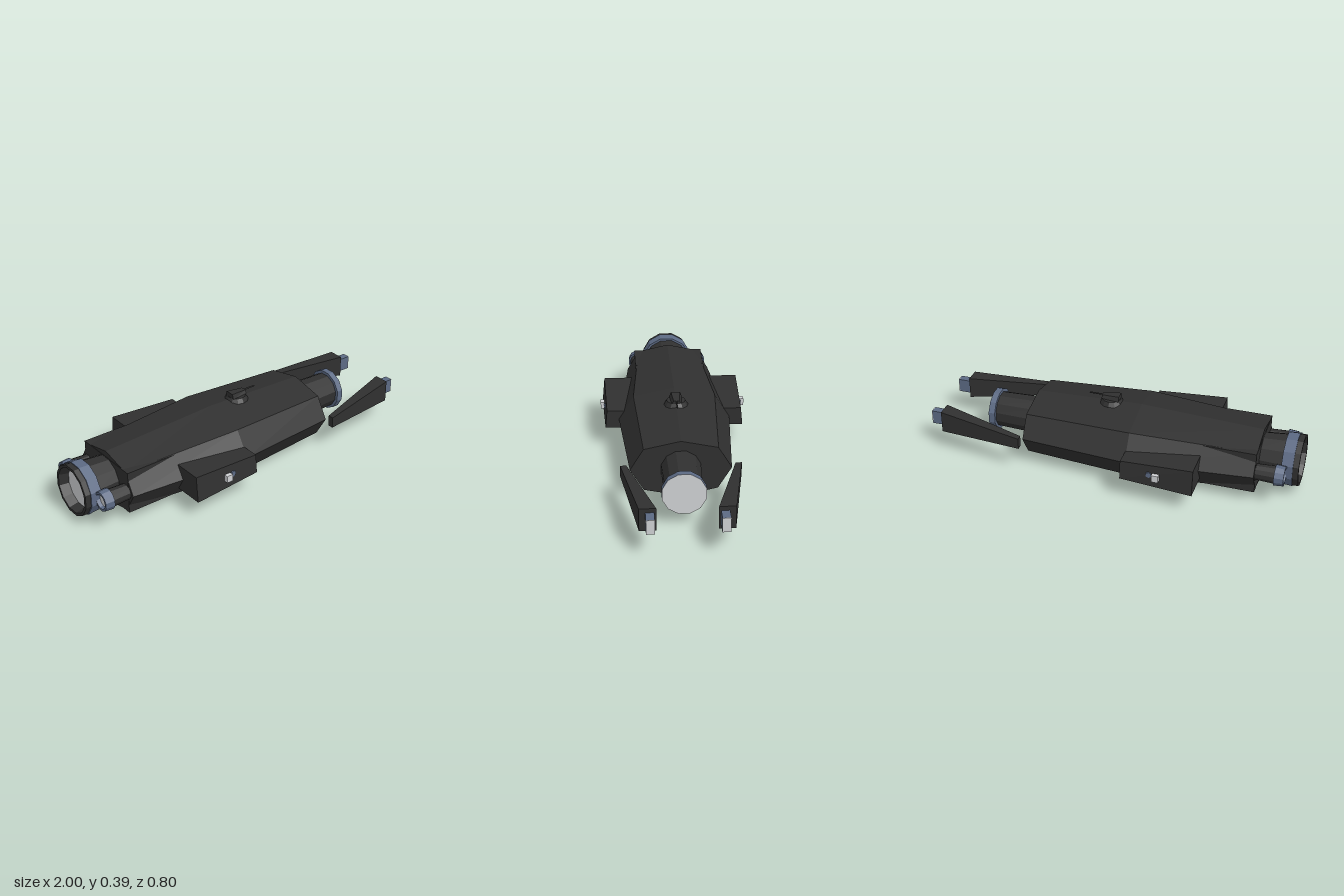
import * as THREE from 'three';

const hullMat = new THREE.MeshStandardMaterial({ color: 0x303030 });
hullMat.name = 'dark hull';
const trimMat = new THREE.MeshStandardMaterial({ color: 0x5c6a84 });
trimMat.name = 'blue grey trim';
const lightMat = new THREE.MeshStandardMaterial({ color: 0xd0d2d5 });
lightMat.name = 'pale grey';

const MID = 0.18; // height of the ship's axis

// Faceted mesh from any geometry
function part(parent, name, geometry, material) {
  const g = geometry.index ? geometry.toNonIndexed() : geometry;
  g.computeVertexNormals();
  const mesh = new THREE.Mesh(g, material);
  mesh.name = name;
  parent.add(mesh);
  return mesh;
}

// Capped skin through sections { x, loop: [[y, z], ...] } running towards +x
function loft(sections, side = 1) {
  const rings = sections.map(({ x, loop }) => {
    const ring = loop.map(([y, z]) => [x, y, z * side]);
    return side < 0 ? ring.reverse() : ring;
  });
  const n = rings[0].length, pos = [];
  const tri = (a, b, c) => pos.push(...a, ...b, ...c);
  for (let s = 0; s < rings.length - 1; s++) {
    for (let j = 0; j < n; j++) {
      const k = (j + 1) % n, p = rings[s], q = rings[s + 1];
      tri(p[j], p[k], q[j]);
      tri(p[k], q[k], q[j]);
    }
  }
  const first = rings[0], last = rings[rings.length - 1];
  for (let j = 1; j < n - 1; j++) {
    tri(first[0], first[j + 1], first[j]);
    tri(last[0], last[j], last[j + 1]);
  }
  const g = new THREE.BufferGeometry();
  g.setAttribute('position', new THREE.Float32BufferAttribute(pos, 3));
  return g;
}

// Four-sided section: bottom, top, inner z, outer z at the bottom and top
const quad = (x, y0, y1, zIn, zOut, zOutTop = zOut) =>
  ({ x, loop: [[y1, zIn], [y1, zOutTop], [y0, zOut], [y0, zIn]] });

// Turned shape about the x axis, profile [x, radius] running towards +x
function turned(profile, z = 0, sides = 12) {
  const g = new THREE.LatheGeometry(
    profile.map(([x, r]) => new THREE.Vector2(r, x)), sides, Math.PI / sides);
  return g.rotateZ(-Math.PI / 2).translate(0, MID, z);
}

// Eight-sided hull section
function hullSection(x, halfWidth, halfHeight) {
  const shape = [[1, 0], [0.74, 0.73], [0, 1], [-0.74, 0.73],
    [-1, 0], [-0.74, -0.73], [0, -1], [0.74, -0.73]];
  return { x, loop: shape.map(([y, z]) => [MID + y * halfHeight, z * halfWidth]) };
}

export function createModel() {
  const ship = new THREE.Group();
  ship.name = 'spaceship';

  // Hull and the square shoulders at its rear
  part(ship, 'hull', loft([
    hullSection(-0.79, 0.235, 0.148),
    hullSection(-0.13, 0.302, 0.177),
    hullSection(0.45, 0.258, 0.156),
  ]), hullMat);
  part(ship, 'rearShoulders',
    new THREE.BoxGeometry(0.32, 0.23, 0.39).translate(-0.632, MID, 0), hullMat);

  // Nose barrel
  part(ship, 'noseBarrel', turned([[0.44, 0.104], [0.67, 0.096]]), hullMat);
  part(ship, 'noseRing', turned([[0.67, 0.09], [0.67, 0.113], [0.705, 0.113]]), trimMat);
  part(ship, 'noseLens', turned([[0.705, 0.113], [0.705, 0]]), lightMat);

  // Main engine
  part(ship, 'engineRim',
    turned([[-0.95, 0.108], [-1, 0.122], [-1, 0.138], [-0.97, 0.138]]), hullMat);
  part(ship, 'engineRing',
    turned([[-0.97, 0.138], [-0.97, 0.143], [-0.91, 0.139], [-0.91, 0.125]]), trimMat);
  part(ship, 'engineNeck', turned([[-0.91, 0.127], [-0.78, 0.116]]), hullMat);
  part(ship, 'engineGlow', turned([[-0.95, 0], [-0.95, 0.108]]), lightMat);

  for (const side of [1, -1]) {
    const group = new THREE.Group();
    group.name = side > 0 ? 'leftSide' : 'rightSide';
    ship.add(group);

    // Small engine
    const z = side * 0.172;
    part(group, 'smallEngineBody', turned([[-0.89, 0.047], [-0.78, 0.042]], z), hullMat);
    part(group, 'smallEngineRing', turned([[-0.92, 0.036], [-0.94, 0.04],
      [-0.94, 0.052], [-0.89, 0.056], [-0.89, 0.045]], z), trimMat);
    part(group, 'smallEngineGlow', turned([[-0.92, 0], [-0.92, 0.036]], z), lightMat);

    // Forward prong and its tip
    part(group, 'prong', loft([
      quad(0.455, 0.15, 0.21, 0.275, 0.307),
      quad(0.93, 0.12, 0.24, 0.147, 0.23),
    ], side), hullMat);
    part(group, 'prongTip', new THREE.BoxGeometry(0.07, 0.076, 0.042)
      .translate(0.961, MID, side * 0.178), trimMat);
    part(group, 'prongLamp', new THREE.BoxGeometry(0.004, 0.076, 0.042)
      .translate(0.998, MID, side * 0.178), lightMat);

    // Side pod with its marker lamp
    part(group, 'sidePod', loft([
      quad(-0.51, 0.11, 0.25, 0.2, 0.388, 0.375),
      quad(-0.125, 0.13, 0.23, 0.2, 0.375, 0.365),
    ], side), hullMat);
    part(group, 'podLamp', new THREE.BoxGeometry(0.036, 0.038, 0.022)
      .translate(-0.318, 0.18, side * 0.388), lightMat);
    part(group, 'podStud', new THREE.CylinderGeometry(0.016, 0.016, 0.012, 8)
      .rotateX(Math.PI / 2).translate(-0.28, 0.185, side * 0.374), trimMat);
  }

  // Top turret
  const turret = new THREE.Group();
  turret.name = 'turret';
  turret.position.set(0.035, 0, 0);
  ship.add(turret);
  part(turret, 'turretBase',
    new THREE.CylinderGeometry(0.05, 0.064, 0.024, 12).translate(0, 0.353, 0), hullMat);
  part(turret, 'turretHead', loft([
    { x: -0.045, loop: [[0.39, -0.024], [0.39, 0.024], [0.364, 0.034], [0.364, -0.034]] },
    { x: 0.05, loop: [[0.383, -0.015], [0.383, 0.015], [0.366, 0.024], [0.366, -0.024]] },
  ]), hullMat);
  part(turret, 'turretGun', new THREE.CylinderGeometry(0.004, 0.004, 0.09, 6)
    .rotateZ(-Math.PI / 2).translate(0.078, 0.378, 0), hullMat);

  return ship;
}
